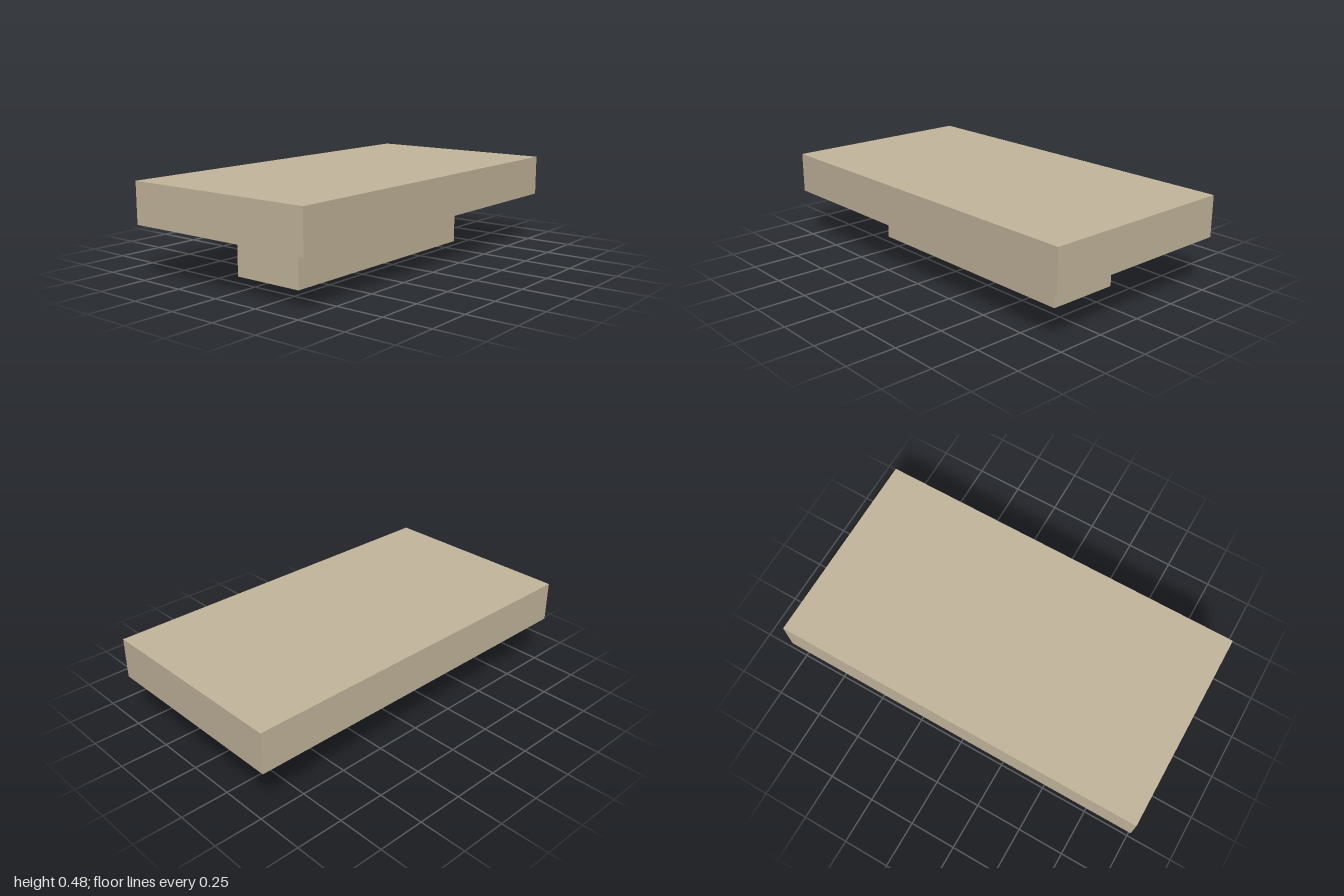
import * as THREE from 'three';

const stone = new THREE.MeshStandardMaterial({ color: 0xc4b69c, side: THREE.DoubleSide });
stone.name = 'stone';

function add(group, name, geometry, x, y, z) {
  const mesh = new THREE.Mesh(geometry, stone);
  mesh.name = name;
  mesh.position.set(x, y, z);
  group.add(mesh);
  return mesh;
}

// Four thin walls around a rectangle, open above and below
function openBox(w, h, d) {
  const g = new THREE.BoxGeometry(w, h, d);
  const index = Array.from(g.index.array);
  g.setIndex([...index.slice(0, 12), ...index.slice(24)]);
  g.clearGroups();
  return g;
}

export function createModel() {
  const model = new THREE.Group();
  model.name = 'cornice';

  // Projecting slab on top and the narrow bed course beneath it
  add(model, 'topSlab', new THREE.BoxGeometry(2, 0.214, 1.067), 0, 0.377, 0);
  add(model, 'bedCourse', new THREE.BoxGeometry(1.533, 0.034, 0.6), 0, 0.253, 0);

  // Hollow frieze, open at the bottom
  add(model, 'frieze', openBox(1.333, 0.236, 0.4), 0, 0.118, 0);

  // Row of shallow dentils along the front of the frieze
  const dentils = new THREE.Group();
  dentils.name = 'dentils';
  const dentil = new THREE.BoxGeometry(0.0567, 0.085, 0.002);
  for (let i = 0; i < 11; i++) {
    add(dentils, 'dentil', dentil, -0.598 + i * 0.1134, 0.1935, 0.2012);
  }
  model.add(dentils);

  return model;
}
